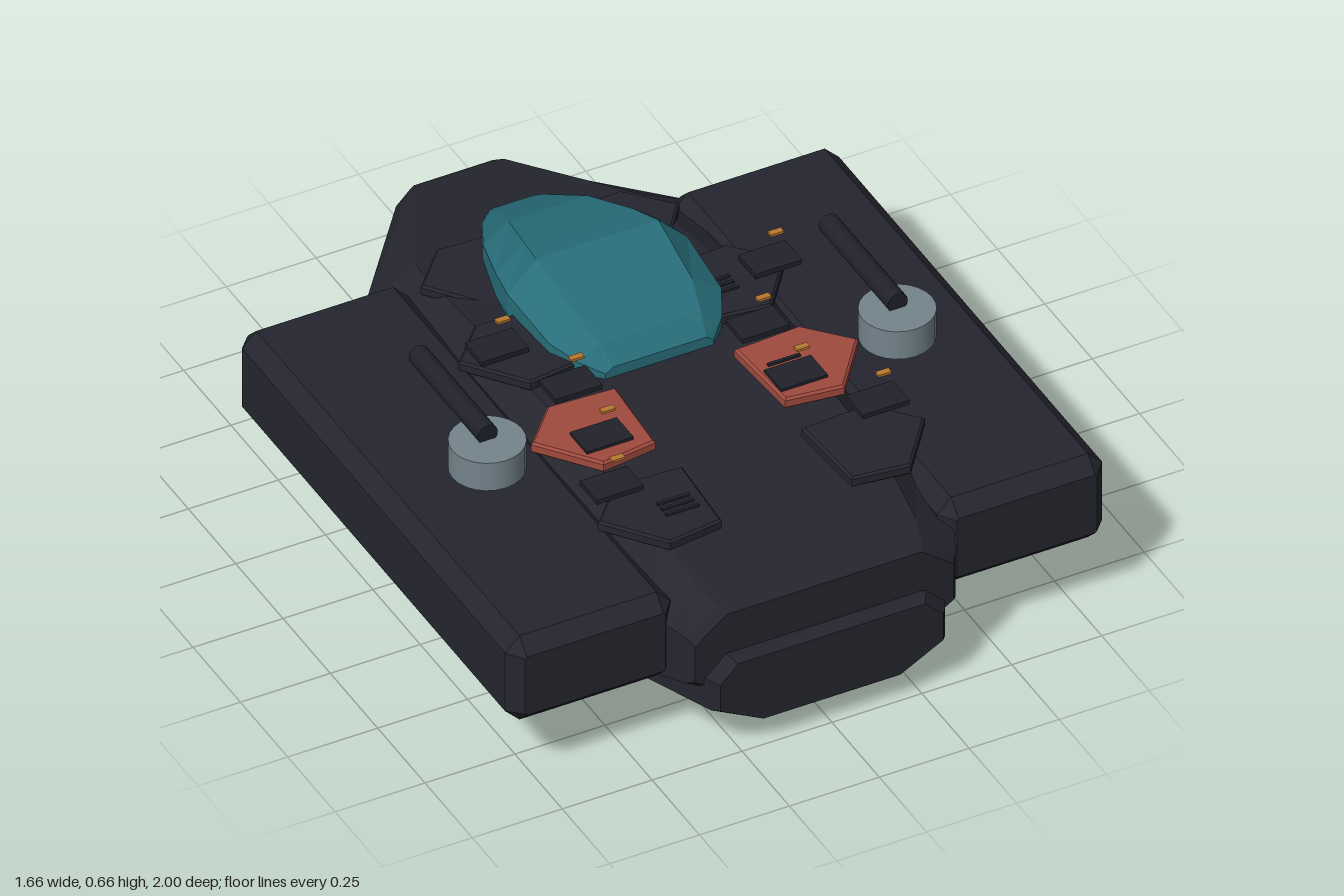
import * as THREE from 'three';

const paint = (name, color, extra = {}) => {
  const m = new THREE.MeshStandardMaterial({ color, ...extra });
  m.name = name;
  return m;
};

// Eight-sided loft; each section is [z, bottomHalf, sideHalf, topHalf, yBottom, yLow, yHigh, yTop], front to back
function loft(sections) {
  const pos = [], index = [], n = 8;
  for (const [z, wb, w, wt, yB, yL, yH, yT] of sections) {
    const right = [[wb, yB], [w, yL], [w, yH], [wt, yT]];
    const ring = [...right, ...right.map(([x, y]) => [-x, y]).reverse()];
    for (const [x, y] of ring) pos.push(x, y, z);
  }
  const last = (sections.length - 1) * n;
  for (let i = 0; i < last; i += n) {
    for (let j = 0; j < n; j++) {
      const a = i + j, b = i + (j + 1) % n;
      index.push(a, a + n, b, b, a + n, b + n);
    }
  }
  for (let j = 1; j < n - 1; j++) {
    index.push(0, j, j + 1, last, last + j + 1, last + j);
  }
  const g = new THREE.BufferGeometry();
  g.setAttribute('position', new THREE.Float32BufferAttribute(pos, 3));
  g.setIndex(index);
  const flat = g.toNonIndexed();
  flat.computeVertexNormals();
  return flat;
}

export function createModel() {
  const group = new THREE.Group();
  const hullDark = paint('hull charcoal', 0x25252f);
  const fittingDark = paint('fitting black', 0x20212a);
  const glass = paint('canopy teal', 0x286e7a);
  const red = paint('armour red', 0xa04a3e);
  const steel = paint('turret steel', 0x74848c);
  const gold = paint('marker gold', 0xb8782c);

  const add = (name, geometry, material, x = 0, y = 0, z = 0) => {
    const m = new THREE.Mesh(geometry, material);
    m.name = name;
    m.position.set(x, y, z);
    group.add(m);
    return m;
  };

  // Main hull and keel
  add('upperHull', loft([
    [0.96, 0.28, 0.36, 0.27, 0.18, 0.23, 0.34, 0.41],
    [0.94, 0.29, 0.375, 0.28, 0.17, 0.22, 0.36, 0.425],
    [0.87, 0.3, 0.41, 0.3, 0.16, 0.21, 0.38, 0.445],
    [0.67, 0.32, 0.41, 0.32, 0.15, 0.21, 0.41, 0.49],
    [0.1, 0.34, 0.42, 0.33, 0.15, 0.21, 0.42, 0.505],
    [-0.2, 0.34, 0.43, 0.33, 0.15, 0.21, 0.42, 0.5],
    [-0.61, 0.34, 0.45, 0.31, 0.15, 0.22, 0.37, 0.44],
    [-0.98, 0.12, 0.17, 0.13, 0.21, 0.24, 0.32, 0.36],
    [-1, 0.1, 0.15, 0.11, 0.22, 0.25, 0.31, 0.35],
  ]), hullDark);
  add('lowerHull', loft([
    [1, 0.19, 0.31, 0.26, 0.085, 0.15, 0.23, 0.28],
    [0.98, 0.2, 0.325, 0.27, 0.08, 0.145, 0.235, 0.29],
    [0.72, 0.28, 0.45, 0.33, 0.03, 0.16, 0.23, 0.28],
    [-0.15, 0.28, 0.52, 0.4, 0.005, 0.17, 0.21, 0.25],
    [-0.58, 0.22, 0.42, 0.33, 0.075, 0.16, 0.21, 0.25],
    [-0.96, 0.08, 0.14, 0.1, 0.13, 0.15, 0.2, 0.22],
  ]), hullDark);

  // Faceted canopy
  add('canopy', loft([
    [0.09, 0.14, 0.15, 0.13, 0.45, 0.5, 0.52, 0.535],
    [0.04, 0.19, 0.2, 0.14, 0.45, 0.5, 0.54, 0.58],
    [-0.04, 0.22, 0.24, 0.16, 0.45, 0.51, 0.56, 0.615],
    [-0.24, 0.23, 0.25, 0.17, 0.45, 0.52, 0.58, 0.66],
    [-0.34, 0.2, 0.23, 0.15, 0.43, 0.5, 0.57, 0.635],
    [-0.5, 0.15, 0.18, 0.11, 0.42, 0.48, 0.53, 0.58],
    [-0.66, 0.08, 0.1, 0.07, 0.41, 0.44, 0.46, 0.49],
    [-0.69, 0.06, 0.075, 0.06, 0.41, 0.43, 0.45, 0.47],
  ]), glass);

  // Chamfered side pods with turrets
  const pod = loft([
    [0.89, 0.19, 0.195, 0.19, 0.235, 0.24, 0.41, 0.415],
    [0.85, 0.19, 0.23, 0.19, 0.195, 0.235, 0.415, 0.455],
    [-0.54, 0.19, 0.23, 0.19, 0.195, 0.235, 0.415, 0.455],
    [-0.58, 0.19, 0.195, 0.19, 0.235, 0.24, 0.41, 0.415],
  ]);
  const turret = new THREE.CylinderGeometry(0.097, 0.097, 0.085, 24);
  const barrel = new THREE.CylinderGeometry(0.028, 0.028, 0.365, 16).rotateX(Math.PI / 2);

  // Five-sided armour plate lying flat, top at y = 0
  const outline = [[0.35, 0.16], [0.165, 0.17], [0.18, 0.41], [0.335, 0.43], [0.455, 0.275]];
  const plate = (s) => new THREE.ExtrudeGeometry(
    new THREE.Shape(outline.map(([x, z]) => new THREE.Vector2(s * x, z))),
    { depth: 0.02, bevelEnabled: true, bevelThickness: 0.006, bevelSize: 0.006, bevelOffset: -0.006, bevelSegments: 1 },
  ).rotateX(Math.PI / 2).translate(0, -0.006, 0);

  for (const s of [1, -1]) {
    const side = s > 0 ? 'left' : 'right';
    add(side + 'Pod', pod, hullDark, s * 0.6);
    add(side + 'Turret', turret, steel, s * 0.57, 0.5425, 0.262);
    add(side + 'Barrel', barrel, fittingDark, s * 0.57, 0.602, 0.082);
    const p = plate(s);
    add(side + 'FrontPlate', p, hullDark, 0, 0.537, 0.352);
    add(side + 'RedPlate', p, red, 0, 0.542, 0);
    add(side + 'MiddlePlate', p, hullDark, 0, 0.532, -0.385);
    add(side + 'RearPlate', p, hullDark, s * -0.095, 0.475, -0.765);
  }

  // Hatches with small hovering markers above them
  const hatch = new THREE.BoxGeometry(0.13, 0.014, 0.09);
  const marker = new THREE.BoxGeometry(0.036, 0.007, 0.018);
  for (const [x, z] of [
    [-0.35, -0.105], [0.41, -0.105], [-0.26, 0.113], [0.26, 0.113],
    [-0.29, 0.335], [0.25, 0.335], [-0.36, 0.52], [0.38, 0.52],
  ]) {
    add('hatch', hatch, fittingDark, x, 0.543, z);
    add('marker', marker, gold, x, 0.648, z + 0.03);
  }

  // Vent slats in threes
  const slat = new THREE.BoxGeometry(0.09, 0.008, 0.009);
  for (const [x, y, z] of [[-0.25, 0.539, 0.66], [0.25, 0.544, 0.295], [0.25, 0.534, -0.08], [0.215, 0.477, -0.46]]) {
    for (const dz of [-0.024, 0, 0.024]) add('ventSlat', slat, fittingDark, x, y, z + dz);
  }

  return group;
}
